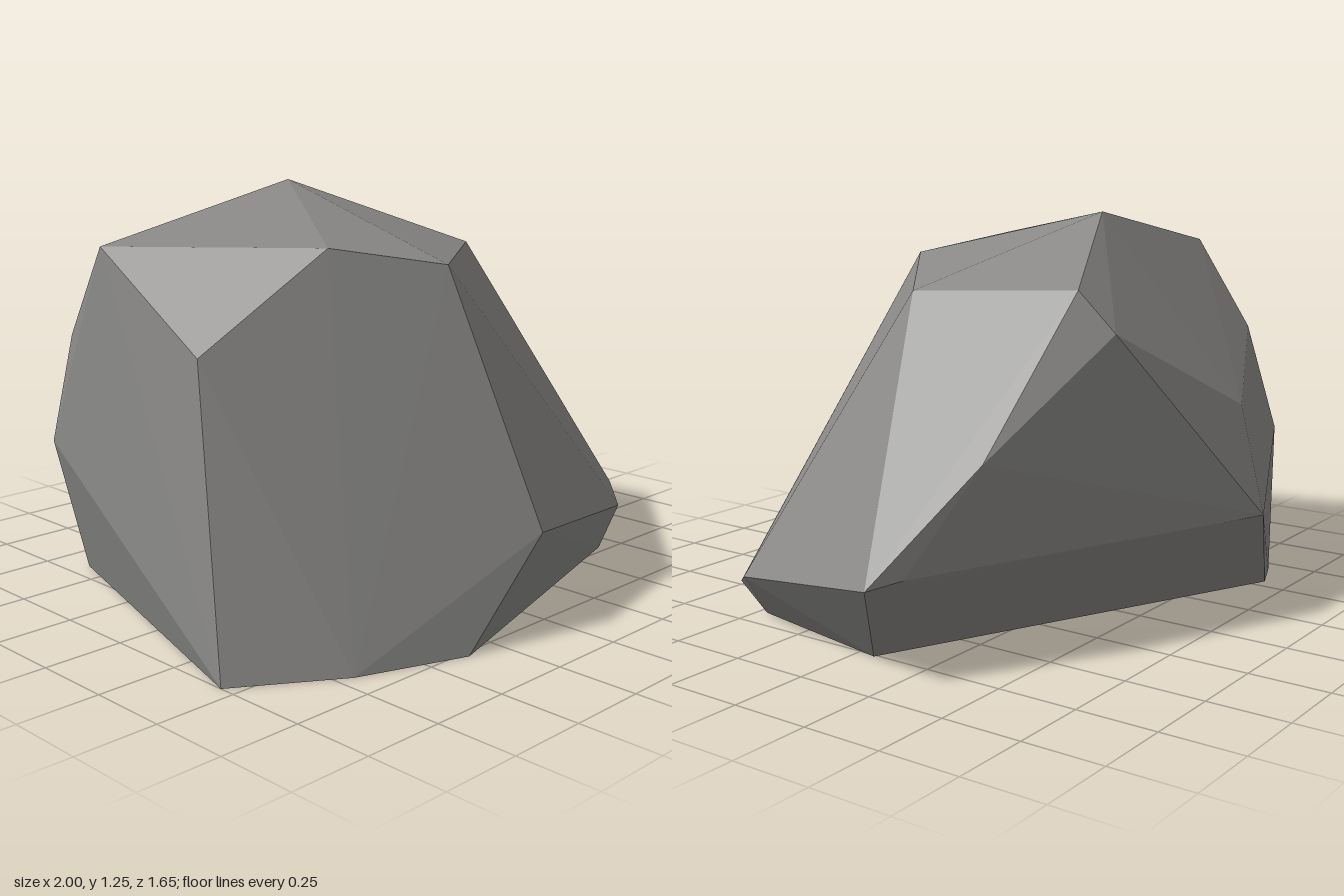
import * as THREE from 'three';
import { ConvexGeometry } from 'three/addons/geometries/ConvexGeometry.js';

export function createModel() {
  const group = new THREE.Group();
  group.name = 'boulder';
  const stone = new THREE.MeshStandardMaterial({ color: 0x8a8987, flatShading: true });
  stone.name = 'grey stone';

  // Chiselled corners of the stone, by level
  const base = [
    [-1, 0, 0.45], [-0.7, 0, 0.65], [-0.37, 0, 0.775], [0.66, 0, 0.47],
    [0.76, 0, -0.06], [-0.55, 0, -0.66], [-0.68, 0, -0.61],
  ];
  const waist = [
    [-0.115, 0.315, 0.825], [0.76, 0.13, 0.475], [0.84, 0.18, 0.38], [1, 0.29, -0.24],
    [0.91, 0.31, -0.3], [-0.17, 0.34, -0.83], [-0.84, 0.47, -0.54],
  ];
  const shoulder = [
    [-0.925, 0.86, 0.29], [-0.83, 0.82, -0.43], [-0.24, 0.66, -0.71],
    [0.36, 0.94, -0.62], [0.74, 0.615, -0.44],
  ];
  const crown = [
    [-0.235, 1.07, 0.56], [-0.55, 1.13, 0.4], [-0.87, 1.11, -0.21],
    [-0.04, 1.25, -0.32], [0.4, 1.06, -0.52], [0.465, 1.03, 0.02],
  ];

  const corners = [...base, ...waist, ...shoulder, ...crown].map((p) => new THREE.Vector3(...p));
  const rock = new THREE.Mesh(new ConvexGeometry(corners), stone);
  rock.name = 'rock';
  group.add(rock);
  return group;
}
